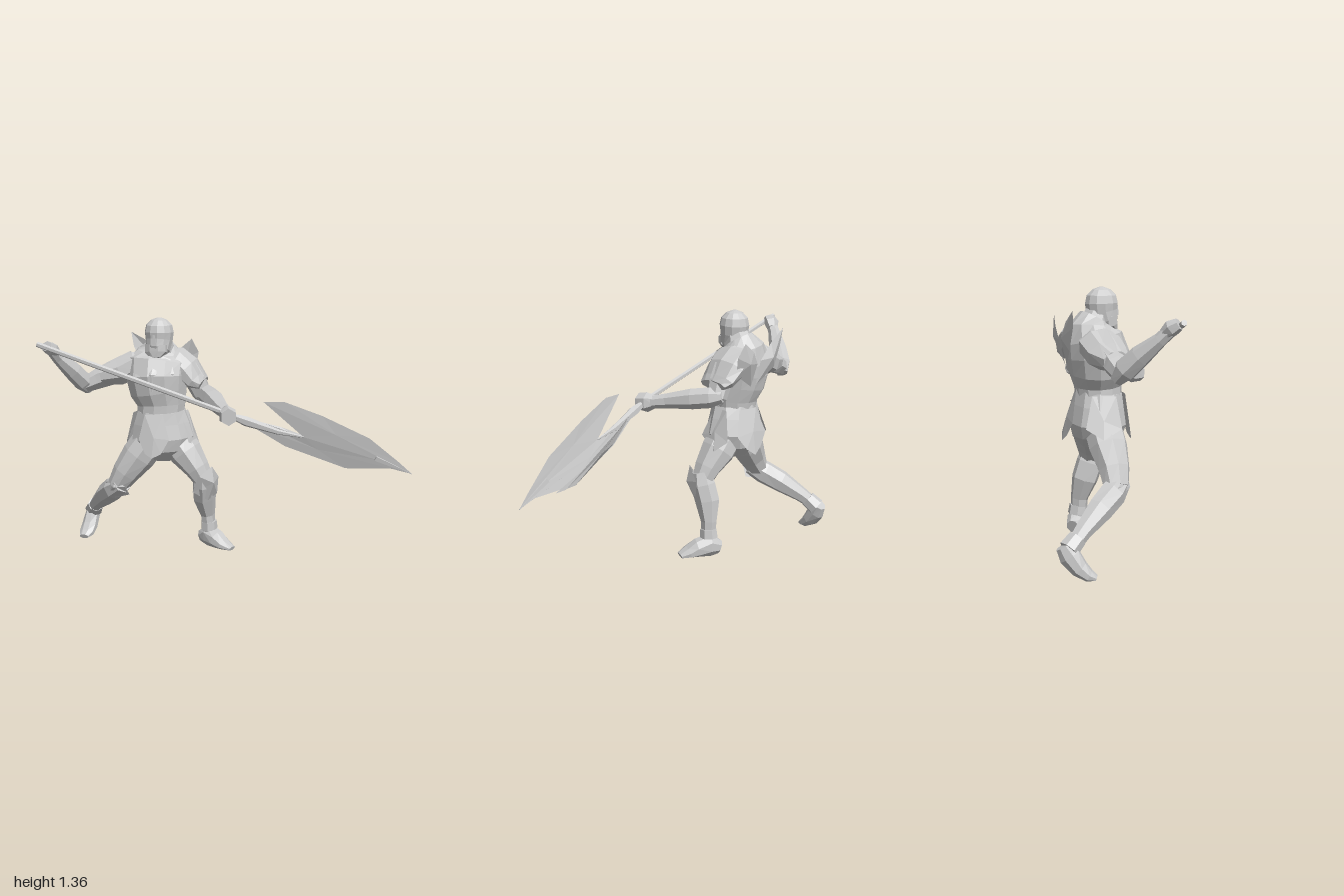
import * as THREE from 'three';

const grey = new THREE.MeshStandardMaterial({ color: 0xcccccc, flatShading: true, side: THREE.DoubleSide });
grey.name = 'stone grey';

const V = (a) => new THREE.Vector3(a[0], a[1], a[2]);

function mesh(name, pos, idx) {
  const g = new THREE.BufferGeometry();
  g.setAttribute('position', new THREE.Float32BufferAttribute(pos, 3));
  g.setIndex(idx);
  g.computeVertexNormals();
  const m = new THREE.Mesh(g, grey);
  m.name = name;
  return m;
}

// Closed loft: rings are [x, y, z, radius along side, radius across it]
function loft(name, rings, sides = 7, side = [1, 0, 0]) {
  const pos = [], idx = [], n = rings.length;
  rings.forEach((r, i) => {
    const t = V(rings[Math.min(i + 1, n - 1)]).sub(V(rings[Math.max(i - 1, 0)])).normalize();
    const v = t.clone().cross(V(side)).normalize();
    const u = v.clone().cross(t);
    for (let j = 0; j < sides; j++) {
      const a = ((j + 0.5) / sides) * Math.PI * 2;
      const p = V(r).addScaledVector(u, Math.cos(a) * r[3]).addScaledVector(v, Math.sin(a) * (r[4] ?? r[3]));
      pos.push(p.x, p.y, p.z);
      if (i < n - 1) {
        const k = (j + 1) % sides, A = i * sides, B = A + sides;
        idx.push(A + j, A + k, B + k, A + j, B + k, B + j);
      }
    }
  });
  pos.push(...rings[0].slice(0, 3), ...rings[n - 1].slice(0, 3));
  const c = n * sides, e = (n - 1) * sides;
  for (let j = 0; j < sides; j++) {
    const k = (j + 1) % sides;
    idx.push(c, k, j, c + 1, e + j, e + k);
  }
  return mesh(name, pos, idx);
}

// Thin sheet fanned around a middle point
function plate(name, mid, outline) {
  const idx = [], n = outline.length;
  for (let i = 0; i < n; i++) idx.push(0, 1 + i, 1 + ((i + 1) % n));
  return mesh(name, [mid, ...outline].flat(), idx);
}

export function createModel() {
  const model = new THREE.Group();
  model.name = 'spearWarrior';
  const add = (...m) => model.add(...m);
  const turn = [0.94, 0, -0.34]; // the trunk is turned toward its right

  // Trunk
  add(loft('torso', [
    [-0.43, 0.8, -0.09, 0.135, 0.115], [-0.425, 0.86, -0.095, 0.14, 0.12], [-0.44, 0.93, -0.095, 0.165, 0.145],
    [-0.45, 1.02, -0.095, 0.182, 0.16], [-0.45, 1.1, -0.115, 0.185, 0.145], [-0.445, 1.16, -0.13, 0.13, 0.11],
    [-0.435, 1.2, -0.11, 0.08, 0.08],
  ], 12, turn));
  add(loft('pelvis', [
    [-0.415, 0.54, -0.1, 0.075, 0.075], [-0.415, 0.6, -0.1, 0.15, 0.13], [-0.42, 0.67, -0.1, 0.185, 0.148],
    [-0.425, 0.76, -0.095, 0.165, 0.132], [-0.425, 0.83, -0.09, 0.14, 0.12],
  ], 10, turn));
  add(plate('chestPlate', [-0.42, 1.05, 0.06], [
    [-0.52, 1.13, 0.01], [-0.42, 1.16, -0.01], [-0.34, 1.13, -0.03], [-0.31, 1.05, -0.01], [-0.42, 0.95, 0.05], [-0.52, 1.03, 0.06],
  ]));

  // Skirt: front and back tongues, then the hips
  add(plate('frontSkirt', [-0.41, 0.69, 0.062], [
    [-0.47, 0.82, 0.045], [-0.37, 0.82, 0.02], [-0.33, 0.68, 0.03], [-0.37, 0.6, 0.055], [-0.42, 0.575, 0.075], [-0.46, 0.6, 0.075], [-0.5, 0.68, 0.065],
  ]));
  add(plate('backSkirt', [-0.44, 0.7, -0.255], [
    [-0.37, 0.82, -0.215], [-0.49, 0.82, -0.205], [-0.55, 0.68, -0.22], [-0.5, 0.61, -0.25], [-0.44, 0.57, -0.28], [-0.38, 0.61, -0.28], [-0.33, 0.68, -0.26],
  ]));
  add(plate('leftSkirt', [-0.25, 0.7, -0.15], [
    [-0.3, 0.82, -0.08], [-0.3, 0.82, -0.19], [-0.27, 0.66, -0.25], [-0.22, 0.6, -0.19], [-0.24, 0.66, -0.04],
  ]));
  add(plate('rightSkirt', [-0.605, 0.7, -0.06], [
    [-0.56, 0.82, 0.0], [-0.56, 0.82, -0.12], [-0.61, 0.66, -0.15], [-0.635, 0.61, -0.06], [-0.59, 0.66, 0.03],
  ]));

  // Head, helmet and beard
  add(loft('neck', [[-0.44, 1.13, -0.12, 0.095], [-0.43, 1.23, -0.09, 0.07]], 8));
  add(loft('head', [
    [-0.43, 1.15, -0.04, 0.045, 0.045], [-0.425, 1.18, -0.055, 0.068, 0.07], [-0.425, 1.23, -0.072, 0.076, 0.08],
    [-0.425, 1.275, -0.075, 0.082, 0.085], [-0.425, 1.315, -0.075, 0.073, 0.076], [-0.425, 1.343, -0.075, 0.046, 0.047],
    [-0.425, 1.356, -0.075, 0.012, 0.012],
  ], 12));
  add(loft('nose', [[-0.422, 1.215, 0.004, 0.014, 0.012], [-0.424, 1.265, 0.003, 0.008, 0.008]], 4));
  add(loft('beard', [[-0.42, 1.135, -0.005, 0.03, 0.015], [-0.425, 1.165, -0.025, 0.068, 0.035], [-0.425, 1.21, -0.028, 0.068, 0.033]], 8));

  // Back fins
  add(plate('rightFin', [-0.55, 1.11, -0.275], [
    [-0.45, 0.96, -0.25], [-0.47, 1.1, -0.265], [-0.55, 1.19, -0.25], [-0.66, 1.255, -0.21], [-0.645, 1.17, -0.21], [-0.59, 1.05, -0.23],
  ]));
  add(plate('leftFin', [-0.36, 1.1, -0.325], [
    [-0.41, 0.96, -0.26], [-0.43, 1.09, -0.29], [-0.39, 1.16, -0.31], [-0.325, 1.215, -0.32], [-0.28, 1.14, -0.315], [-0.29, 1.04, -0.29],
  ]));

  // Right arm, raised at the end of the shaft
  add(loft('rightUpperArm', [[-0.57, 1.09, -0.07, 0.08], [-0.69, 1.04, -0.03, 0.07], [-0.78, 1.0, 0.0, 0.058], [-0.85, 0.965, 0.03, 0.045]], 7, [0, 0, 1]));
  add(loft('rightPauldron', [
    [-0.48, 1.11, -0.11, 0.08, 0.06], [-0.57, 1.085, -0.085, 0.11, 0.08], [-0.66, 1.04, -0.045, 0.105, 0.078], [-0.76, 1.02, 0.0, 0.07, 0.052],
  ], 8, [0, 0, 1]));
  add(loft('rightForearm', [
    [-0.83, 0.94, 0.0, 0.035], [-0.85, 0.99, 0.04, 0.057], [-0.88, 1.06, 0.11, 0.053], [-0.92, 1.14, 0.2, 0.035], [-0.93, 1.18, 0.24, 0.032],
  ]));
  add(loft('rightHand', [[-0.92, 1.165, 0.22, 0.032, 0.03], [-0.935, 1.195, 0.25, 0.045, 0.04], [-0.945, 1.215, 0.285, 0.038, 0.03]], 6));

  // Left arm, bent and holding the front of the shaft
  add(loft('leftPauldron', [
    [-0.42, 1.13, -0.15, 0.08, 0.055], [-0.36, 1.11, -0.165, 0.12, 0.078], [-0.3, 1.06, -0.18, 0.135, 0.078],
    [-0.245, 1.0, -0.185, 0.125, 0.055], [-0.205, 0.98, -0.19, 0.1, 0.032],
  ], 9, [0, 0, 1]));
  add(loft('leftUpperArm', [[-0.3, 1.06, -0.18, 0.075], [-0.25, 0.99, -0.195, 0.065], [-0.22, 0.91, -0.21, 0.055], [-0.21, 0.87, -0.21, 0.03]], 7, [0, 0, 1]));
  add(loft('leftForearm', [
    [-0.23, 0.925, -0.25, 0.035], [-0.19, 0.915, -0.2, 0.058], [-0.12, 0.9, -0.12, 0.058], [-0.03, 0.875, 0.0, 0.042], [0.03, 0.86, 0.07, 0.036],
  ]));
  add(loft('leftHand', [[0.01, 0.865, 0.05, 0.035, 0.035], [0.04, 0.857, 0.09, 0.052, 0.056], [0.065, 0.855, 0.14, 0.045, 0.048]], 6));

  // Spear
  add(loft('shaft', [[-0.99, 1.225, 0.305, 0.015], [0.05, 0.865, 0.1, 0.015], [0.15, 0.82, 0.065, 0.015]], 6, [0, 0, 1]));
  add(loft('socket', [[0.09, 0.845, 0.085, 0.02], [0.14, 0.825, 0.068, 0.028], [0.3, 0.765, 0.0, 0.016], [0.43, 0.735, -0.05, 0.005]], 6, [0, 0, 1]));
  add(plate('upperBlade', [0.6, 0.745, -0.105], [
    [0.43, 0.735, -0.05], [0.235, 0.935, 0.06], [0.34, 0.935, 0.02], [0.53, 0.855, -0.065], [0.77, 0.727, -0.17],
    [0.92, 0.59, -0.245], [0.99, 0.52, -0.28], [0.8, 0.605, -0.2],
  ]));
  add(plate('lowerBlade', [0.5, 0.66, -0.095], [
    [0.14, 0.85, 0.07], [0.43, 0.735, -0.05], [0.8, 0.605, -0.2], [0.99, 0.52, -0.28], [0.89, 0.55, -0.245],
    [0.64, 0.55, -0.17], [0.33, 0.68, -0.035], [0.145, 0.81, 0.06],
  ]));
  add(plate('rearBlade', [0.45, 0.68, -0.13], [
    [0.14, 0.84, 0.06], [0.3, 0.78, -0.06], [0.74, 0.58, -0.29], [0.78, 0.555, -0.25], [0.64, 0.56, -0.2], [0.33, 0.7, -0.05],
  ]));
  add(loft('bladeSpike', [[0.8, 0.615, -0.195, 0.018], [0.99, 0.52, -0.28, 0.002]], 4, [0, 0, 1]));

  // Right leg, stretched out behind
  add(loft('rightThigh', [
    [-0.48, 0.66, -0.07, 0.1, 0.1], [-0.55, 0.56, -0.04, 0.1, 0.1], [-0.62, 0.46, -0.01, 0.08, 0.08], [-0.67, 0.38, 0.0, 0.06, 0.065],
  ], 8));
  add(loft('rightShin', [
    [-0.63, 0.4, 0.02, 0.055], [-0.7, 0.355, -0.02, 0.07], [-0.78, 0.3, -0.08, 0.066], [-0.88, 0.22, -0.16, 0.045], [-0.95, 0.155, -0.215, 0.035],
  ], 7, [0, 1, 0]));
  add(plate('rightKneeGuard', [-0.665, 0.385, 0.07], [
    [-0.74, 0.4, 0.01], [-0.66, 0.43, 0.055], [-0.6, 0.39, 0.05], [-0.59, 0.335, 0.01], [-0.68, 0.31, 0.02], [-0.78, 0.285, -0.02],
  ]));
  add(loft('rightAnkleCuff', [[-0.91, 0.195, -0.185, 0.047], [-0.945, 0.15, -0.225, 0.052]], 7, [0, 1, 0]));
  add(loft('rightFoot', [
    [-0.95, 0.17, -0.25, 0.035, 0.04], [-0.95, 0.12, -0.22, 0.042, 0.055], [-0.95, 0.06, -0.175, 0.048, 0.045],
    [-0.95, 0.025, -0.13, 0.046, 0.03], [-0.95, 0.012, -0.095, 0.03, 0.014],
  ], 8));

  // Left leg, planted with the foot turned out
  add(loft('leftThigh', [
    [-0.36, 0.67, -0.12, 0.1, 0.1], [-0.29, 0.58, -0.125, 0.095, 0.105], [-0.22, 0.49, -0.125, 0.07, 0.085], [-0.18, 0.42, -0.13, 0.055, 0.065],
  ], 8));
  add(loft('leftShin', [
    [-0.18, 0.47, -0.12, 0.05, 0.06], [-0.185, 0.4, -0.14, 0.068, 0.075], [-0.195, 0.31, -0.17, 0.068, 0.072],
    [-0.185, 0.2, -0.2, 0.043, 0.048], [-0.18, 0.1, -0.205, 0.038, 0.042],
  ]));
  add(plate('leftKneeGuard', [-0.105, 0.42, -0.09], [
    [-0.12, 0.515, -0.1], [-0.18, 0.46, -0.05], [-0.23, 0.36, -0.07], [-0.15, 0.31, -0.11], [-0.115, 0.34, -0.17], [-0.11, 0.44, -0.18],
  ]));
  add(loft('leftAnkleCuff', [[-0.18, 0.11, -0.21, 0.05, 0.055], [-0.18, 0.16, -0.205, 0.045, 0.05]]));
  add(loft('leftFoot', [
    [-0.235, 0.05, -0.235, 0.035, 0.04], [-0.185, 0.068, -0.22, 0.055, 0.066], [-0.12, 0.052, -0.19, 0.06, 0.052],
    [-0.07, 0.032, -0.17, 0.058, 0.03], [-0.02, 0.016, -0.16, 0.035, 0.012],
  ], 8, [0, 0, 1]));

  return model;
}
